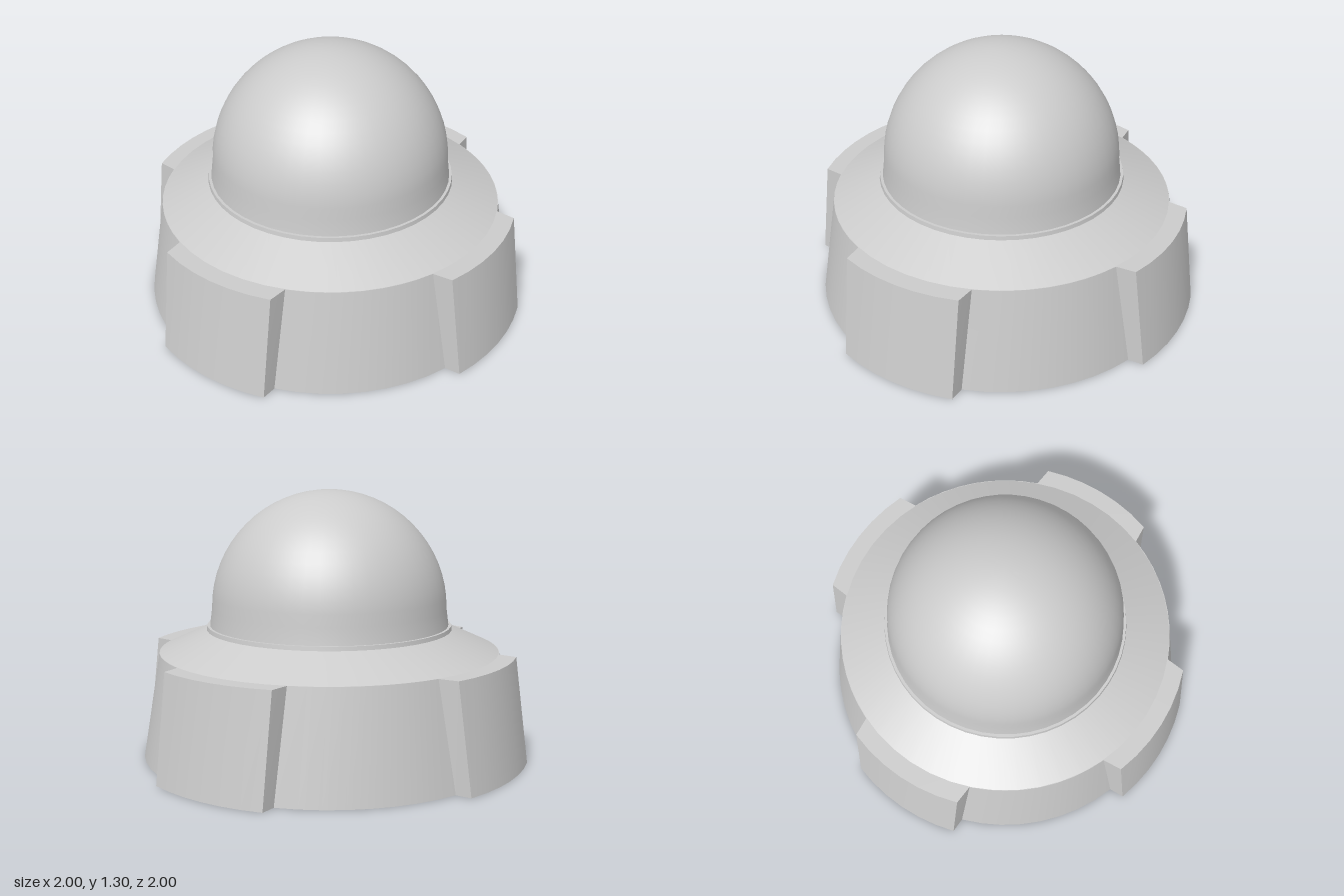
import * as THREE from 'three';
import { toCreasedNormals } from 'three/addons/utils/BufferGeometryUtils.js';

const material = new THREE.MeshStandardMaterial({ color: 0xcccccc });
const RIB_STEPS = 6, VALLEY_STEPS = 8;

// Ring of four raised ribs and four valleys; rib sides stay parallel
function ribbedRing(y, ribRadius, valleyRadius, ribHalf, valleyHalf) {
  const ring = [];
  const a = Math.asin(ribHalf / ribRadius), b = Math.asin(valleyHalf / valleyRadius);
  const add = (t, r) => ring.push([r * Math.sin(t), y, r * Math.cos(t)]);
  for (let q = 0; q < 4; q++) {
    const start = q * Math.PI / 2;
    for (let i = 0; i <= RIB_STEPS; i++) add(start - a + 2 * a * i / RIB_STEPS, ribRadius);
    for (let i = 0; i <= VALLEY_STEPS; i++) {
      add(start + b + (Math.PI / 2 - 2 * b) * i / VALLEY_STEPS, valleyRadius);
    }
  }
  return ring;
}

// Skin consecutive rings with quads
function loft(rings) {
  const pos = [];
  for (let k = 0; k < rings.length - 1; k++) {
    const lo = rings[k], hi = rings[k + 1], n = lo.length;
    for (let i = 0; i < n; i++) {
      const j = (i + 1) % n;
      pos.push(...lo[i], ...lo[j], ...hi[j], ...lo[i], ...hi[j], ...hi[i]);
    }
  }
  const geometry = new THREE.BufferGeometry();
  geometry.setAttribute('position', new THREE.Float32BufferAttribute(pos, 3));
  return geometry;
}

function addPart(group, name, geometry, crease = 0.5) {
  const mesh = new THREE.Mesh(toCreasedNormals(geometry, crease), material);
  mesh.name = name;
  group.add(mesh);
}

function lathe(points) {
  return new THREE.LatheGeometry(points.map(([r, y]) => new THREE.Vector2(r, y)), 48);
}

export function createModel() {
  const group = new THREE.Group();
  group.name = 'domedKnob';

  // Tapered base with grip ribs, closed below and flat on the rib tops
  const bottom = ribbedRing(0, 1, 0.93, 0.303, 0.306);
  const top = ribbedRing(0.515, 0.93, 0.844, 0.303, 0.311);
  const centre = bottom.map(() => [0, 0, 0]);
  const ledge = top.map(([x, y, z]) => {
    const s = 0.838 / Math.hypot(x, z);
    return [x * s, y, z * s];
  });
  addPart(group, 'ribbedBase', loft([centre, bottom, top, ledge]));

  // Sloping shoulder with a thin rim under the dome
  addPart(group, 'shoulder', lathe([
    [0.842, 0.515], [0.61, 0.62], [0.607, 0.64], [0.59, 0.64],
  ]), 0.3);

  // Dome: short drafted skirt running into a hemisphere
  const radius = 0.583, centreY = 0.722;
  const profile = [[0.594, 0.638]];
  for (let i = 0; i <= 16; i++) {
    const t = i / 16 * Math.PI / 2;
    profile.push([i === 16 ? 0 : radius * Math.cos(t), centreY + radius * Math.sin(t)]);
  }
  addPart(group, 'dome', lathe(profile));

  return group;
}
